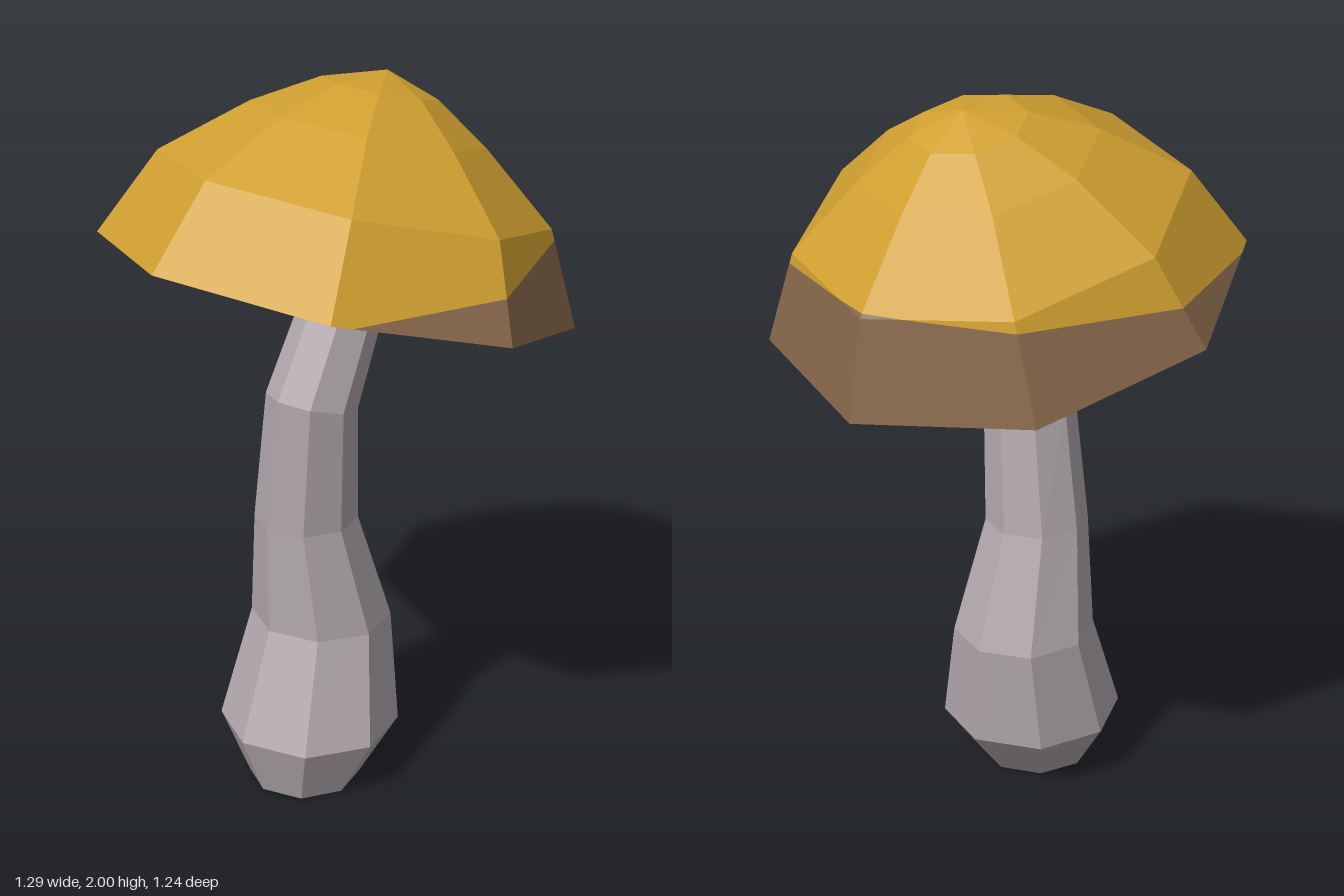
import * as THREE from 'three';

const SIDES = 8;

// One eight-sided cross-section, tilted so that its front edge rises
function ring([x, y, z, radius, tilt]) {
  return Array.from({ length: SIDES }, (_, i) => {
    const a = (i / SIDES) * Math.PI * 2;
    const forward = radius * Math.cos(a);
    return new THREE.Vector3(
      x + radius * Math.sin(a),
      y + forward * Math.sin(tilt),
      z + forward * Math.cos(tilt)
    );
  });
}

// Outward-facing quads between consecutive sections, bottom to top
function loft(sections) {
  const rings = sections.map(ring);
  const faces = [];
  for (let r = 0; r < rings.length - 1; r++) {
    for (let i = 0; i < SIDES; i++) {
      const j = (i + 1) % SIDES;
      faces.push([rings[r][i], rings[r][j], rings[r + 1][j], rings[r + 1][i]]);
    }
  }
  return faces;
}

// Keep the part of a face above (sign 1) or below (sign -1) a level
function clip(face, level, sign) {
  const out = [];
  face.forEach((p, i) => {
    const q = face[(i + 1) % face.length];
    const dp = sign * (p.y - level);
    const dq = sign * (q.y - level);
    if (dp >= 0) out.push(p);
    if (dp * dq < 0) out.push(p.clone().lerp(q, dp / (dp - dq)));
  });
  return out;
}

// Separate corners for every triangle give flat facets
function facetMesh(name, faces, material) {
  const points = [];
  for (const f of faces) {
    for (let i = 1; i < f.length - 1; i++) {
      if (f[i].distanceTo(f[i + 1]) > 1e-5) points.push(f[0], f[i], f[i + 1]);
    }
  }
  const geometry = new THREE.BufferGeometry().setFromPoints(points);
  geometry.computeVertexNormals();
  const mesh = new THREE.Mesh(geometry, material);
  mesh.name = name;
  return mesh;
}

function flatMaterial(name, color) {
  const material = new THREE.MeshStandardMaterial({ color, side: THREE.DoubleSide, flatShading: true });
  material.name = name;
  return material;
}

export function createModel() {
  const group = new THREE.Group();
  group.name = 'mushroom';

  const gold = flatMaterial('capGold', 0xd0a030);
  const brown = flatMaterial('rimBrown', 0x87674a);
  const grey = flatMaterial('stemGrey', 0xb2a9ae);

  // Crooked open stem: x, y, z, radius, tilt
  const stem = loft([
    [0, 0.005, 0.125, 0.155, 0],
    [-0.015, 0.168, 0.09, 0.25, 0.02],
    [-0.04, 0.465, 0.022, 0.195, 0.03],
    [-0.042, 0.78, 0.075, 0.142, 0],
    [-0.002, 1.14, 0.088, 0.125, 0.24],
    [0.002, 1.453, -0.05, 0.108, 0.32],
  ]);
  group.add(facetMesh('stem', stem, grey));

  // Hollow cap leaning backwards: height along its axis, radius, backward shift
  const tilt = 0.271;
  const cap = loft([
    [0, 0.645, 0],
    [0.246, 0.528, 0],
    [0.42, 0.315, 0],
    [0.518, 0.155, 0.015],
    [0.567, 0, 0.03],
  ].map(([h, radius, shift]) => [
    0,
    1.4625 + h * Math.cos(tilt) - shift * Math.sin(tilt),
    -h * Math.sin(tilt) - shift * Math.cos(tilt),
    radius,
    tilt,
  ]));

  // The cap changes colour at a level line
  const level = 1.57;
  group.add(facetMesh('capTop', cap.map((f) => clip(f, level, 1)), gold));
  group.add(facetMesh('capRim', cap.map((f) => clip(f, level, -1)), brown));

  return group;
}
